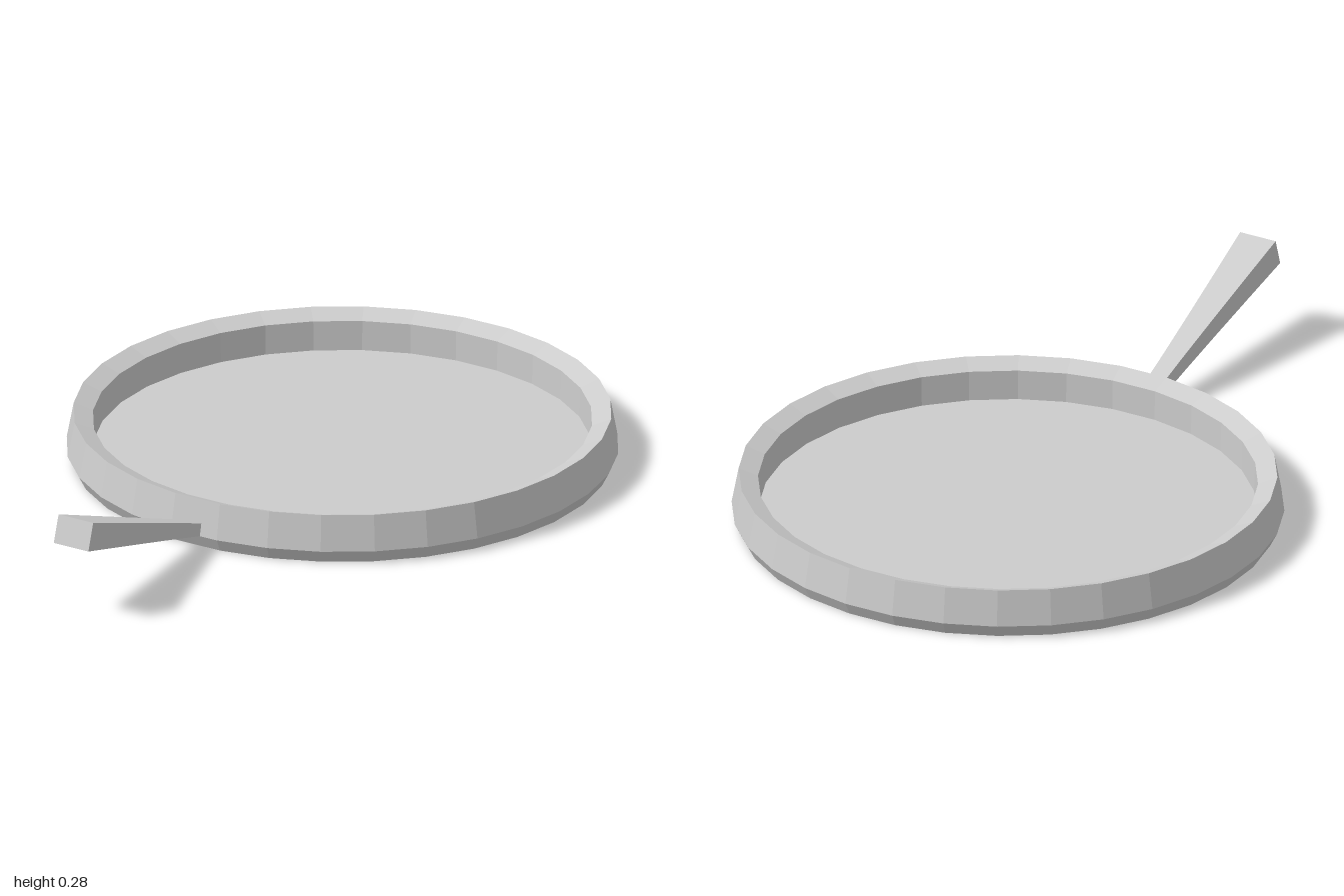
import * as THREE from 'three';

const material = () => new THREE.MeshStandardMaterial({ color: 0xcccccc, flatShading: true });

// Round dish: faceted solid of revolution with a flared base and a rim sloping inward
function createPan() {
  const sides = 32;
  const profile = [
    [0, 0], [0.695, 0], [0.713, 0.035], [0.695, 0.13],
    [0.645, 0.11], [0.642, 0.03], [0, 0.03],
  ].map(([r, y]) => new THREE.Vector2(r, y));
  const pan = new THREE.Mesh(new THREE.LatheGeometry(profile, sides, Math.PI / sides), material());
  pan.name = 'pan';
  pan.position.z = -0.29;
  return pan;
}

// Handle: a box whose sections widen, thicken and rise towards the grip end
function createHandle() {
  const geometry = new THREE.BoxGeometry(1, 1, 1, 1, 1, 4);
  const pos = geometry.attributes.position;
  const lerp = THREE.MathUtils.lerp;
  for (let i = 0; i < pos.count; i++) {
    const t = pos.getZ(i) + 0.5;
    const isTop = pos.getY(i) > 0;
    const width = lerp(0.044, 0.106, Math.pow(t, 1.2));
    const y = isTop ? lerp(0.064, 0.277, t) : lerp(0.034, 0.205, t);
    const z = isTop ? lerp(0.4, 0.977, t) : lerp(0.415, 1, t);
    pos.setXYZ(i, pos.getX(i) * width - 0.004, y, z);
  }
  geometry.computeVertexNormals();
  const handle = new THREE.Mesh(geometry, material());
  handle.name = 'handle';
  return handle;
}

export function createModel() {
  const group = new THREE.Group();
  group.name = 'fryingPan';
  group.add(createPan(), createHandle());
  return group;
}
